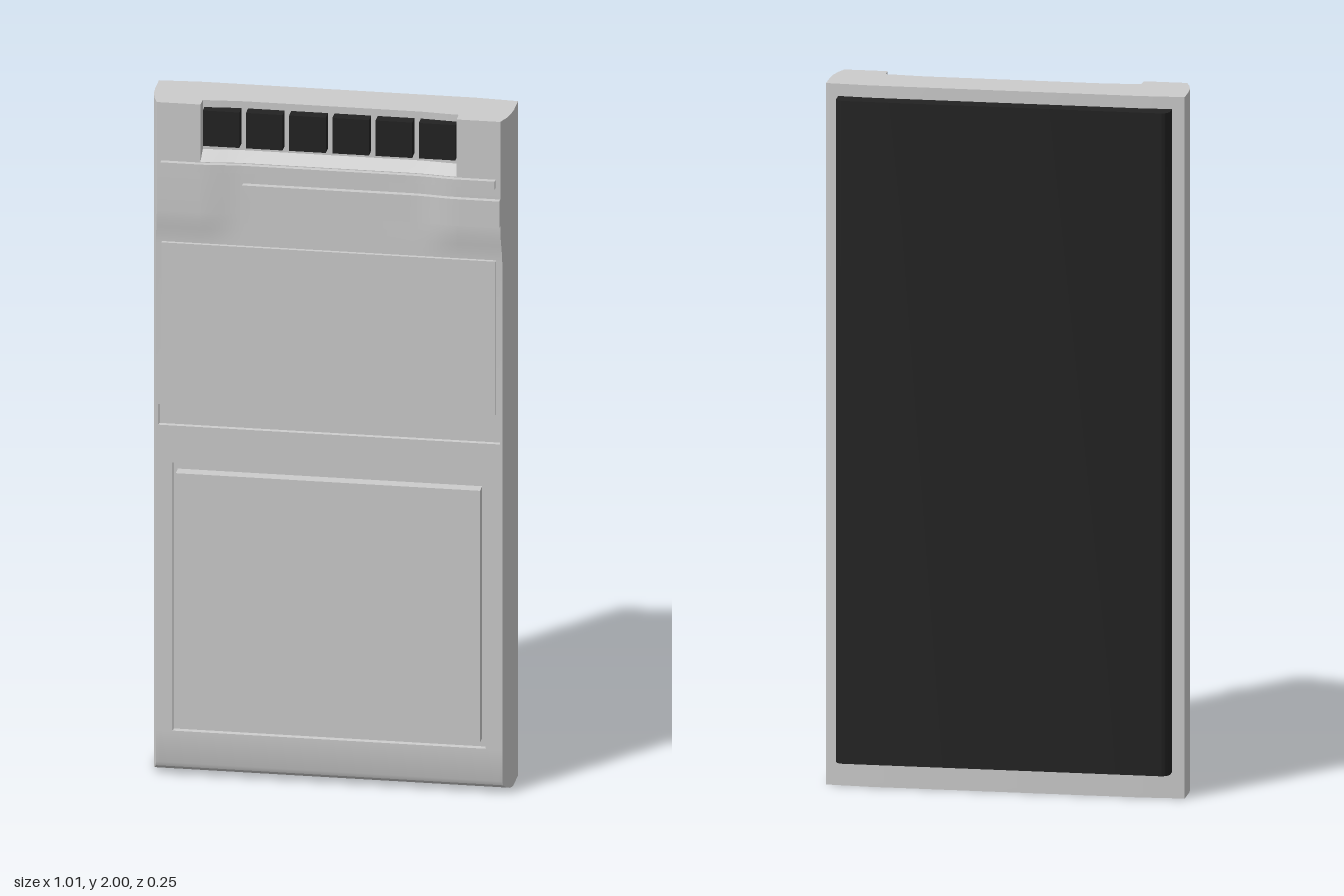
import * as THREE from 'three';
import { toCreasedNormals } from 'three/addons/utils/BufferGeometryUtils.js';

const { smoothstep } = THREE.MathUtils;
const E = 0.0005; // half width of a step wall
const grey = new THREE.MeshStandardMaterial({ color: 0xcccccc });
const dark = new THREE.MeshStandardMaterial({ color: 0x222222 });

// Front skin: flat below, dished across the middle near the top
const dish = (x) => smoothstep(Math.abs(x), 0.24, 0.36);
const skin = (x, y) => 0.095 + 0.01 * smoothstep(y, 1.58, 1.68) * dish(x);

// Front skin with its grooves, vent recess and rounded lower edge
function front(x, y) {
  const ax = Math.abs(x), base = skin(x, y);
  if (y < 0.04) return 0.025 + 0.07 * Math.sin((Math.PI / 2) * Math.pow(y / 0.04, 0.75));
  if (ax < 0.44 && y > 0.135 && y < 0.93) return 0.08;
  if (ax < 0.48 && y > 1.04 && y < 1.1) return 0.083;
  if (ax < 0.36 && y > 1.83) {
    const floor = 0.06 + 0.008 * dish(x);
    return THREE.MathUtils.lerp(base, floor, Math.min(1, (y - 1.83) / 0.025));
  }
  return base;
}

// Bowed side wall
const sideX = (z) => 0.505 - 0.02 * Math.pow(Math.max(0, z) / 0.1, 2);
const step = (v) => [v - E, v + E];

// Body: horizontal cross-sections stacked up the height
function bodyGeometry() {
  const half = [0.12, 0.24, 0.27, 0.3, 0.33, ...step(0.36), ...step(0.44), ...step(0.48)];
  const xs = [...half.slice().reverse(), 0, ...half.map((x) => -x)];
  const ys = [0, 0.005, 0.015, 0.027, 0.04, ...step(0.135), ...step(0.93), ...step(1.04),
    ...step(1.1), 1.58, 1.605, 1.63, 1.655, 1.68, 1.83, 1.855, 2];
  const rings = ys.map((y) => {
    const edge = front(0.49, y);
    const wall = [0, 0.33, 0.66, 1].map((f) => [sideX(edge * f), edge * f]);
    return [
      [-0.505, -0.065], [-0.38, -0.073], [0.38, -0.073], [0.505, -0.065],
      ...wall,
      ...xs.map((x) => [x, front(x, y)]),
      ...wall.slice().reverse().map(([x, z]) => [-x, z]),
    ].map(([x, z]) => new THREE.Vector3(x, y, z));
  });
  const pos = [];
  const tri = (...pts) => pts.forEach((p) => pos.push(p.x, p.y, p.z));
  for (let j = 0; j < rings.length - 1; j++) {
    const lo = rings[j], hi = rings[j + 1], n = lo.length;
    for (let i = 0; i < n; i++) {
      const k = (i + 1) % n;
      tri(lo[i], hi[i], lo[k]);
      tri(lo[k], hi[i], hi[k]);
    }
  }
  // End caps
  const cap = (ring, up) => {
    const flat = ring.map((p) => new THREE.Vector2(p.x, p.z));
    for (const [a, b, c] of THREE.ShapeUtils.triangulateShape(flat, [])) {
      const facesDown = THREE.ShapeUtils.area([flat[a], flat[b], flat[c]]) > 0;
      if (facesDown === up) tri(ring[a], ring[c], ring[b]);
      else tri(ring[a], ring[b], ring[c]);
    }
  };
  cap(rings[0], false);
  cap(rings[rings.length - 1], true);
  const geo = new THREE.BufferGeometry();
  geo.setAttribute('position', new THREE.Float32BufferAttribute(pos, 3));
  return toCreasedNormals(geo, 0.5);
}

// Raised plate whose face follows the dished skin; slant moves its lower left-hand corner
function plateGeometry(x0, x1, y0, y1, raise, slant = 0) {
  const geo = new THREE.BoxGeometry(1, 1, 1, 32, 1, 1);
  const p = geo.attributes.position;
  for (let i = 0; i < p.count; i++) {
    const low = p.getY(i) < 0;
    const x = THREE.MathUtils.lerp(x0 + (low ? slant : 0), x1, p.getX(i) + 0.5);
    const y = low ? y0 : y1;
    p.setXYZ(i, x, y, p.getZ(i) > 0 ? skin(x, y) + raise : 0.05);
  }
  return toCreasedNormals(geo, 0.5);
}

// Back slab: plan outline with two rounded rear corners, extruded upwards
function slabGeometry() {
  const w = 0.47, d = 0.125, r = 0.025, s = new THREE.Shape();
  s.moveTo(-w, 0.06);
  s.lineTo(w, 0.06);
  s.lineTo(w, d - r);
  s.absarc(w - r, d - r, r, 0, Math.PI / 2);
  s.absarc(-w + r, d - r, r, Math.PI / 2, Math.PI);
  s.closePath();
  const geo = new THREE.ExtrudeGeometry(s, { depth: 1.89, bevelEnabled: false, curveSegments: 6 });
  geo.rotateX(-Math.PI / 2).translate(0, 0.075, 0);
  return toCreasedNormals(geo, 0.5);
}

export function createModel() {
  const model = new THREE.Group();
  const add = (name, geo, mat = grey) => {
    const mesh = new THREE.Mesh(geo, mat);
    mesh.name = name;
    model.add(mesh);
    return mesh;
  };

  add('body', bodyGeometry());
  add('backSlab', slabGeometry(), dark);

  // Raised front plates
  add('lowerPanel', plateGeometry(-0.428, 0.428, 0.16, 0.907, 0.022));
  add('middlePanel', plateGeometry(-0.47, 0.47, 1.13, 1.585, 0.011));
  add('slantedPlate', plateGeometry(-0.242, 0.483, 1.69, 1.77, 0.017, 0.042));
  add('upperStrip', plateGeometry(-0.47, 0.47, 1.805, 1.828, 0.016));

  // Row of dark vent blocks in the top recess
  for (let i = 0; i < 6; i++) {
    const block = add('ventBlock', new THREE.BoxGeometry(0.103, 0.105, 0.04), dark);
    block.position.set((i - 2.5) * 0.1215, 1.927, 0.076);
  }
  return model;
}
